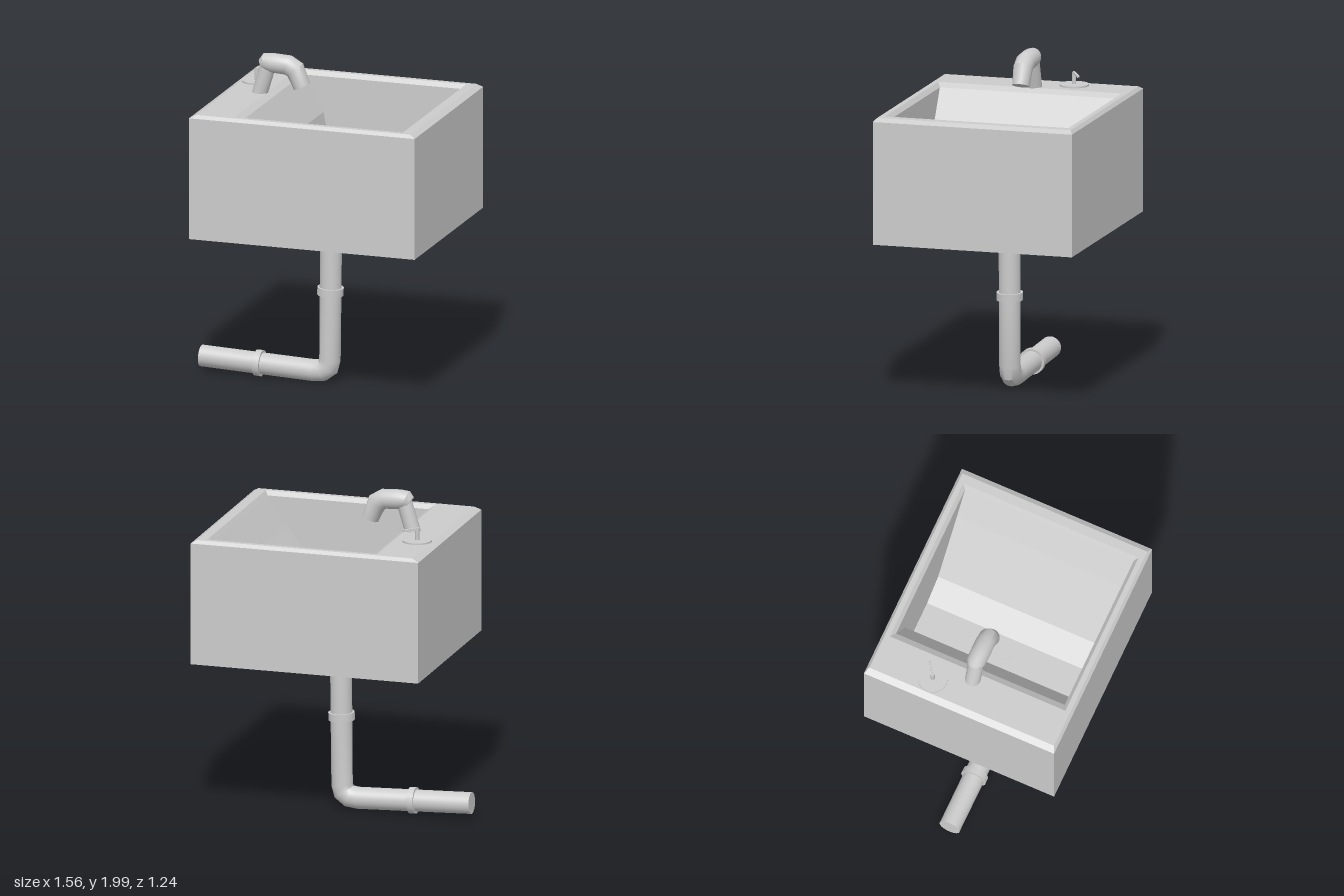
import * as THREE from 'three';
import { toCreasedNormals } from 'three/addons/utils/BufferGeometryUtils.js';

const flat = new THREE.MeshStandardMaterial({ color: 0xcccccc, flatShading: true, side: THREE.DoubleSide });
const smooth = new THREE.MeshStandardMaterial({ color: 0xcccccc });

function add(parent, name, geometry, material, x = 0, y = 0, z = 0) {
  const mesh = new THREE.Mesh(geometry, material);
  mesh.name = name;
  mesh.position.set(x, y, z);
  parent.add(mesh);
  return mesh;
}

// Skin a list of equal-length rows of points
function skin(rows, closed) {
  const n = rows[0].length;
  const index = [];
  for (let i = 0; i < rows.length - 1; i++) {
    for (let j = 0; j < (closed ? n : n - 1); j++) {
      const k = (j + 1) % n;
      const a = i * n + j, b = i * n + k, c = a + n, d = b + n;
      index.push(a, b, d, a, d, c);
    }
  }
  const g = new THREE.BufferGeometry();
  g.setAttribute('position', new THREE.Float32BufferAttribute(rows.flat(2), 3));
  g.setIndex(index);
  const out = g.toNonIndexed();
  out.computeVertexNormals();
  return out;
}

// Mitred round tube along points [x, y, radius] in the xy plane, capped at both ends
function mitredTube(path, sides) {
  const pts = path.map(([x, y]) => new THREE.Vector2(x, y));
  const last = pts.length - 1;
  const rows = path.map(([x, y, r], i) => {
    const before = pts[Math.max(i, 1)].clone().sub(pts[Math.max(i, 1) - 1]).normalize();
    const j = Math.min(i, last - 1);
    const after = pts[j + 1].clone().sub(pts[j]).normalize();
    const dir = before.clone().add(after).normalize();
    const stretch = r / dir.dot(after);
    return Array.from({ length: sides }, (_, k) => {
      const a = (k / sides) * Math.PI * 2;
      return [x - dir.y * stretch * Math.cos(a), y + dir.x * stretch * Math.cos(a), r * Math.sin(a)];
    });
  });
  const cap = ([x, y]) => Array.from({ length: sides }, () => [x, y, 0]);
  return toCreasedNormals(skin([cap(path[0]), ...rows, cap(path[last])], true), 0.6);
}

export function createModel() {
  const sink = new THREE.Group();
  sink.name = 'sink';

  // Outer box and bevelled rim: rectangular rings [x0, x1, half depth, y]
  const rings = [
    [0.07, 0.07, 0, 0.99],
    [-0.64, 0.78, 0.62, 0.99],
    [-0.64, 0.78, 0.62, 1.735],
    [-0.6, 0.747, 0.603, 1.755],
    [-0.37, 0.69, 0.572, 1.755],
    [-0.33, 0.672, 0.55, 1.73],
  ].map(([x0, x1, z, y]) => [[x0, y, z], [x1, y, z], [x1, y, -z], [x0, y, -z]]);
  add(sink, 'cabinetAndRim', skin(rings, true), flat);

  // Basin: steep wall under the tap, flat floor, gentle slope opposite
  const profile = [
    [-0.33, 1.73], [-0.2, 1.51], [-0.14, 1.2], [-0.09, 1.13],
    [0.12, 1.13], [0.28, 1.19], [0.55, 1.55], [0.672, 1.73],
  ];
  const half = 0.55;
  add(sink, 'basin', skin(profile.map(([x, y]) => [[x, y, -half], [x, y, half]]), false), flat);
  const wall = new THREE.ShapeGeometry(new THREE.Shape(profile.map(([x, y]) => new THREE.Vector2(x, y))));
  add(sink, 'basinBackWall', wall, flat, 0, 0, -half);
  add(sink, 'basinFrontWall', wall, flat, 0, 0, half);
  add(sink, 'drain', new THREE.CylinderGeometry(0.041, 0.041, 0.006, 6), flat, 0.02, 1.13, 0.005);

  // Tap: slim stem joined to a thicker bent spout
  const tap = new THREE.Group();
  tap.name = 'tap';
  tap.position.z = -0.012;
  sink.add(tap);
  add(tap, 'tapStem', mitredTube([[-0.418, 1.735, 0.047], [-0.353, 1.95, 0.047]], 20), smooth);
  add(tap, 'tapSpout', mitredTube([
    [-0.395, 1.925, 0.04], [-0.373, 1.939, 0.056], [-0.335, 1.941, 0.059], [-0.235, 1.936, 0.059],
    [-0.19, 1.91, 0.058], [-0.148, 1.811, 0.052],
  ], 24), smooth);

  // Handle: round plate, post and angled lever
  const handle = new THREE.Group();
  handle.name = 'handle';
  handle.position.set(-0.51, 1.75, -0.23);
  sink.add(handle);
  add(handle, 'handlePlate', new THREE.CylinderGeometry(0.088, 0.088, 0.024, 32), smooth, 0, 0.003, 0);
  add(handle, 'handlePost', new THREE.CylinderGeometry(0.013, 0.013, 0.07, 12), smooth, 0, 0.048, 0);
  const lever = add(handle, 'handleLever', new THREE.BoxGeometry(0.1, 0.012, 0.014), smooth, 0.032, 0.079, -0.021);
  lever.rotation.set(0, 0.59, -0.08);

  // Waste pipe with elbow and two collars
  add(sink, 'wastePipe', mitredTube([
    [0.04, 1.0, 0.065], [0.036, 0.57, 0.065], [0.032, 0.15, 0.064], [0.02, 0.105, 0.064],
    [-0.015, 0.08, 0.066], [-0.07, 0.073, 0.066], [-0.777, 0.1, 0.065],
  ], 32), smooth);
  add(sink, 'upperCollar', mitredTube([[0.036, 0.595, 0.079], [0.034, 0.548, 0.079]], 32), smooth);
  add(sink, 'lowerCollar', mitredTube([[-0.393, 0.086, 0.079], [-0.432, 0.0875, 0.079]], 32), smooth);

  return sink;
}
